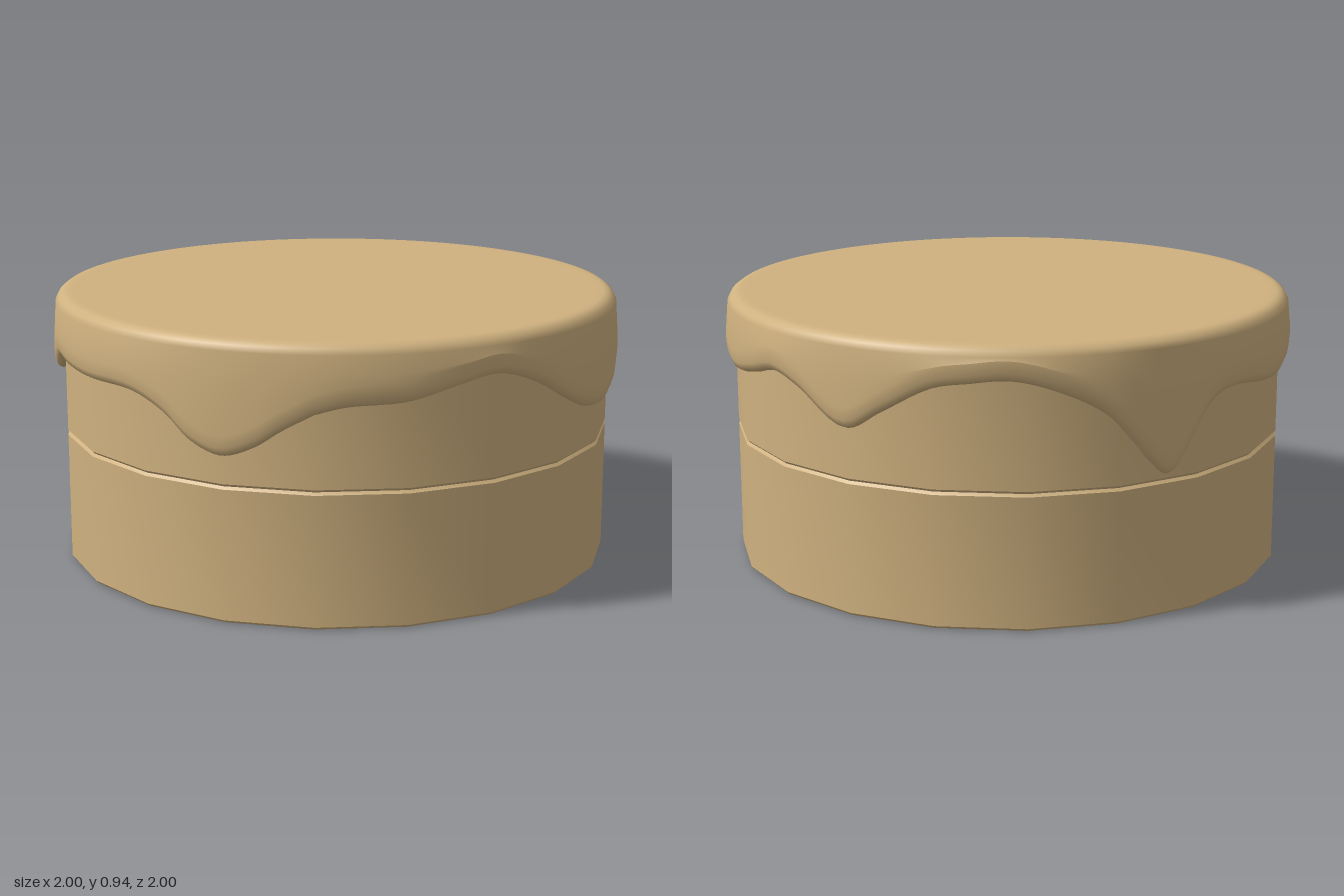
import * as THREE from 'three';
import { toCreasedNormals } from 'three/addons/utils/BufferGeometryUtils.js';

const tan = new THREE.MeshStandardMaterial({ color: 0xcfb17f });
tan.name = 'tan';

// Twenty-sided sponge layer with slightly bevelled rims
function layer(name, y0, y1) {
  const r = 0.965, b = 0.009;
  const profile = [[0, y0], [r - b, y0], [r, y0 + b], [r, y1 - b], [r - b, y1], [0, y1]]
    .map(([x, y]) => new THREE.Vector2(x, y));
  const mesh = new THREE.Mesh(toCreasedNormals(new THREE.LatheGeometry(profile, 20), 0.5), tan);
  mesh.name = name;
  return mesh;
}

// Height of the dripping edge: [degrees from the front towards +x, y]
const drips = [
  [0, 0.715], [6, 0.74], [17.5, 0.752], [27, 0.79], [36, 0.815], [45, 0.77], [54, 0.69],
  [62, 0.63], [70, 0.61], [78, 0.635], [84, 0.68], [90, 0.72], [97, 0.725], [107, 0.715],
  [117, 0.745], [125, 0.775], [133, 0.74], [144, 0.64], [152, 0.71], [162, 0.8], [169, 0.82],
  [177, 0.83], [186, 0.79], [195, 0.71], [200, 0.62], [204, 0.54], [208, 0.49], [212, 0.56],
  [216, 0.66], [220, 0.715], [227, 0.73], [242, 0.70], [251, 0.717], [261, 0.75], [269, 0.725],
  [277, 0.655], [283, 0.69], [289, 0.74], [298, 0.735], [307, 0.73], [322, 0.73], [330, 0.68],
  [336, 0.60], [342, 0.565], [348.5, 0.60], [354, 0.66], [360, 0.715],
];

// Icing cap: rings that run from under the dripping edge up to the flat top
function icing() {
  const n = 240, top = 0.945;
  const edge = new THREE.CatmullRomCurve3(
    drips.map(([a, y]) => new THREE.Vector3(THREE.MathUtils.degToRad(a), y, 0))).getPoints(n);
  const rings = [
    (y) => [0.94, y + 0.012],
    (y) => [0.97, y],
    (y) => [0.986, y + 0.008],
    (y) => [0.995, y + 0.03],
    (y) => [0.998, y + 0.07],
    (y) => [0.994, y + (0.9 - y) * 0.6 + 0.01],
    () => [0.988, 0.91],
    () => [0.978, 0.929],
    () => [0.962, 0.941],
    () => [0.945, top],
    () => [0.92, top],
    () => [0, top],
  ];
  const pos = [], index = [];
  rings.forEach((ring, j) => {
    for (let i = 0; i < n; i++) {
      const [r, y] = ring(edge[i].y);
      pos.push(Math.sin(edge[i].x) * r, y, Math.cos(edge[i].x) * r);
      if (j === 0) continue;
      const k = (i + 1) % n, lo = (j - 1) * n, hi = j * n;
      index.push(lo + i, lo + k, hi + i);
      if (j < rings.length - 1) index.push(lo + k, hi + k, hi + i);
    }
  });
  const geo = new THREE.BufferGeometry();
  geo.setAttribute('position', new THREE.Float32BufferAttribute(pos, 3));
  geo.setIndex(index);
  geo.computeVertexNormals();
  const mesh = new THREE.Mesh(geo, tan);
  mesh.name = 'icing';
  return mesh;
}

export function createModel() {
  const cake = new THREE.Group();
  cake.name = 'cake';
  cake.add(layer('lowerLayer', 0, 0.46), layer('upperLayer', 0.46, 0.92), icing());
  return cake;
}
